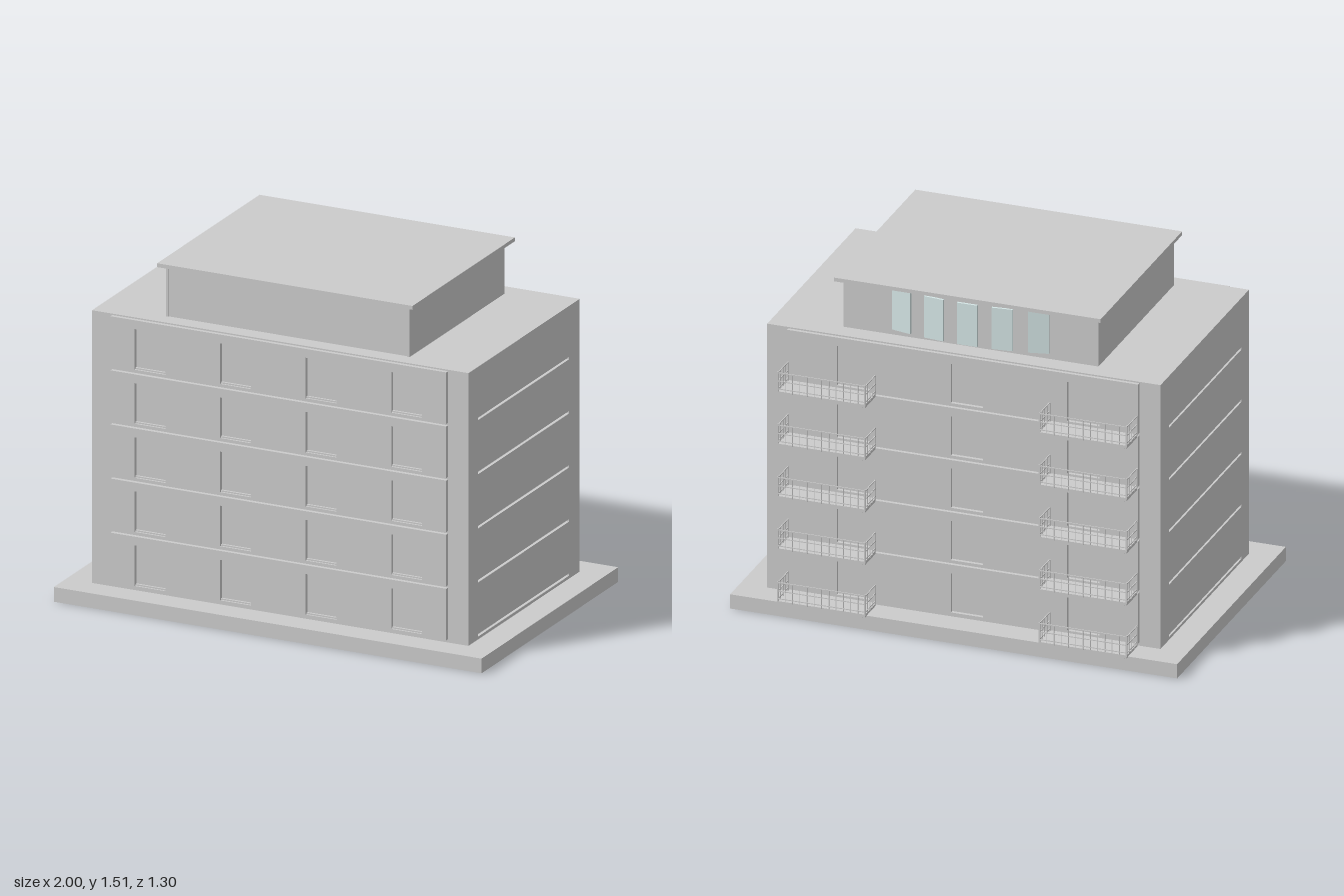
import * as THREE from 'three';

const FLOORS = 5;
const STOREY = 0.24;
const grey = new THREE.MeshStandardMaterial({ color: 0xcccccc });
const glass = new THREE.MeshStandardMaterial({ color: 0xd5e6e6 });

// Box given by its min and max on each axis
function box(parent, name, [x0, x1], [y0, y1], [z0, z1], material = grey) {
  const mesh = new THREE.Mesh(new THREE.BoxGeometry(x1 - x0, y1 - y0, z1 - z0), material);
  mesh.position.set((x0 + x1) / 2, (y0 + y1) / 2, (z0 + z1) / 2);
  mesh.name = name;
  parent.add(mesh);
  return mesh;
}

// One storey of cladding with rectangular openings centred on the given x values
function facadePanel(centres, depth) {
  const rect = (Type, x0, x1, y0, y1) => {
    const p = new Type();
    p.moveTo(x0, y0);
    p.lineTo(x1, y0);
    p.lineTo(x1, y1);
    p.lineTo(x0, y1);
    p.closePath();
    return p;
  };
  const shape = rect(THREE.Shape, -0.785, 0.785, 0, 0.229);
  for (const c of centres) shape.holes.push(rect(THREE.Path, c - 0.072, c + 0.072, 0.01, 0.19));
  return new THREE.ExtrudeGeometry(shape, { depth, bevelEnabled: false });
}

// Slab with a railing on three sides; origin at the centre of the wall edge, reaching to -z
function createBalcony() {
  const g = new THREE.Group();
  g.name = 'balcony';
  const w = 0.195, d = 0.12, h = 0.085, t = 0.002;
  box(g, 'balconySlab', [-w, w], [-0.014, 0], [-d, 0.01]);
  box(g, 'balconyBeam', [-w + 0.015, w - 0.015], [-0.022, -0.014], [-d + 0.01, 0]);

  for (const y of [0.012, 0.047, h]) {
    box(g, 'frontRail', [-w, w], [y - t, y + t], [-d - t, -d + t]);
    for (const s of [-1, 1]) box(g, 'sideRail', [s * w - t, s * w + t], [y - t, y + t], [-d, 0]);
  }
  const post = (x, z, top, r) => box(g, 'railPost', [x - r, x + r], [-0.005, top], [z - r, z + r]);
  for (let i = 0; i <= 12; i++) {
    const end = i % 12 === 0;
    post(-w + (2 * w * i) / 12, -d, end ? h + 0.006 : h, end ? 0.003 : 0.0015);
  }
  for (const s of [-1, 1]) {
    for (let i = 0; i < 4; i++) post(s * w, -0.002 - i * 0.03, h, i === 0 ? 0.003 : 0.0015);
  }
  return g;
}

export function createModel() {
  const model = new THREE.Group();
  model.name = 'apartmentBuilding';

  // Ground plinth
  box(model, 'plinth', [-1, 1], [0, 0.065], [-0.63, 0.648]);

  // Body: front and back blocks, with a core split by a narrow slot at each floor
  box(model, 'frontBlock', [-0.88, 0.88], [0.065, 1.275], [0.44, 0.53]);
  box(model, 'backBlock', [-0.88, 0.88], [0.065, 1.275], [-0.51, -0.41]);
  box(model, 'coreBase', [-0.88, 0.88], [0.065, 0.078], [-0.41, 0.44]);
  for (let i = 0; i < FLOORS; i++) {
    const y = 0.078 + i * STOREY;
    const top = i === FLOORS - 1 ? 1.275 : y + STOREY;
    box(model, 'coreStorey', [-0.88, 0.88], [y + 0.011, top], [-0.41, 0.44]);
  }

  // Facade cladding, window sills and balconies on every storey
  const frontWindows = [-0.6, -0.2, 0.2, 0.6];
  const backDoors = [-0.54, -0.02, 0.49];
  const frontGeometry = facadePanel(frontWindows, 0.018);
  const backGeometry = facadePanel(backDoors, 0.016);
  for (let i = 0; i < FLOORS; i++) {
    const y = 0.08 + i * STOREY;
    const front = new THREE.Mesh(frontGeometry, grey);
    front.name = 'frontCladding';
    front.position.set(0, y, 0.53);
    const back = new THREE.Mesh(backGeometry, grey);
    back.name = 'backCladding';
    back.position.set(0, y, -0.526);
    model.add(front, back);

    for (const x of frontWindows) {
      box(model, 'windowSill', [x - 0.072, x + 0.072], [y + 0.01, y + 0.016], [0.53, 0.54]);
    }
    for (const x of [-0.585, 0.585]) {
      const balcony = createBalcony();
      balcony.position.set(x, y - 0.002 - (i === 0 ? 0.002 : 0), -0.526);
      model.add(balcony);
    }
  }

  // Penthouse with a thin overhanging roof
  box(model, 'penthouse', [-0.56, 0.56], [1.275, 1.49], [-0.425, 0.455]);
  for (const s of [-1, 1]) {
    box(model, 'penthouseSideWall', [s * 0.565 - 0.005, s * 0.565 + 0.005], [1.275, 1.49], [-0.425, 0.46]);
  }
  box(model, 'roof', [-0.597, 0.597], [1.498, 1.515], [-0.47, 0.488]);

  // Upright glass panels set along a shallow arc behind the penthouse
  for (let i = -2; i <= 2; i++) {
    const x = i * 0.153;
    const panel = box(model, 'glassPanel', [x - 0.045, x + 0.045], [1.3, 1.49], [-0.005, 0.005], glass);
    panel.position.z = -0.468 + 0.35 * x * x;
    panel.rotation.y = -Math.atan(0.7 * x);
  }
  return model;
}
